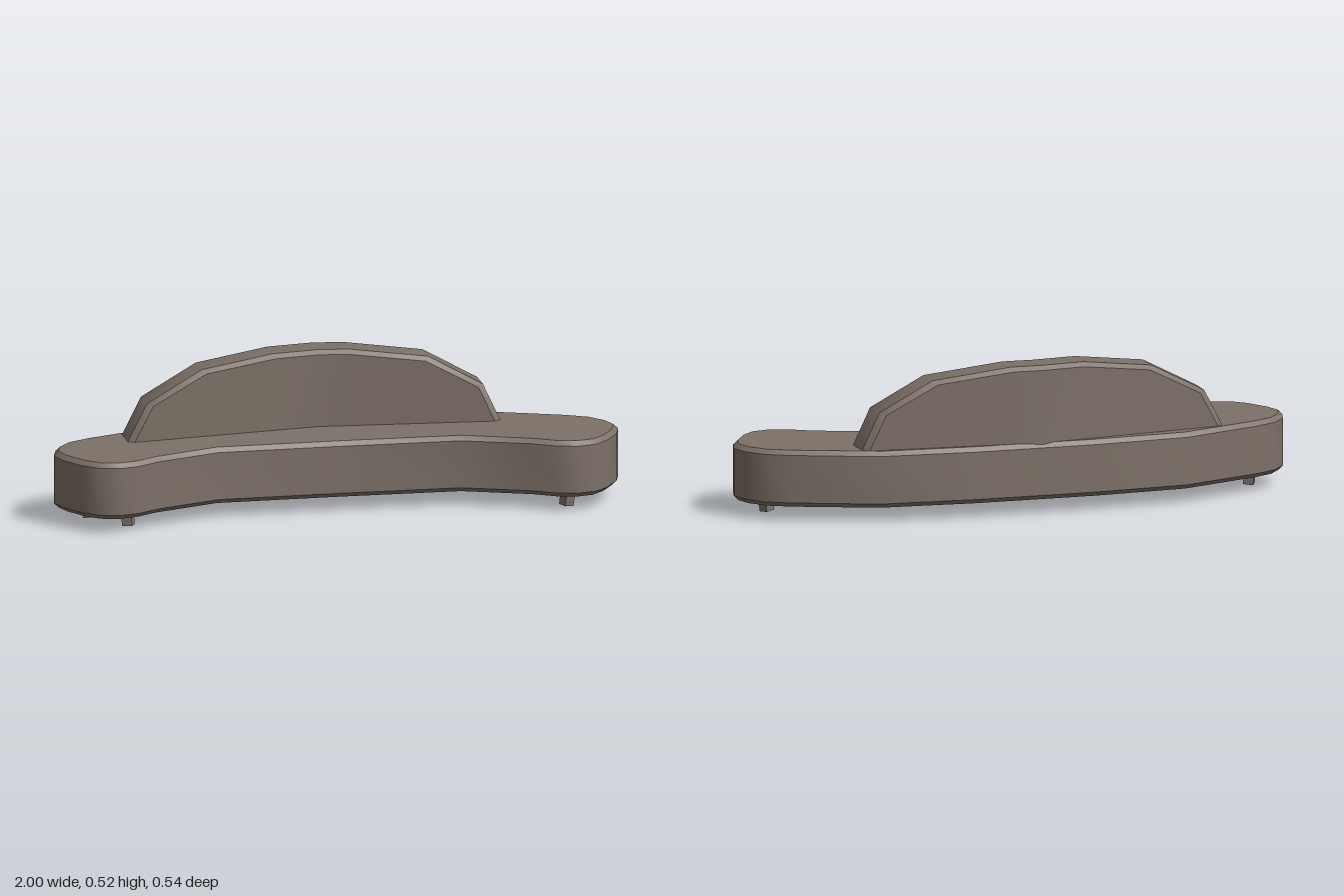
import * as THREE from 'three';
import { toCreasedNormals } from 'three/addons/utils/BufferGeometryUtils.js';

// Curved slab with chamfered rims, mirrored from its +x half outline (x, z)
function seatGeometry() {
  const half = [
    [0.22, -0.275], [0.56, -0.25], [0.85, -0.135], [0.93, -0.09], [0.98, -0.025], [1, 0.045],
    [0.98, 0.115], [0.93, 0.2], [0.88, 0.25], [0.81, 0.268], [0.74, 0.25], [0.66, 0.2], [0.43, 0.11],
  ];
  const mirrored = half.map(([x, z]) => [-x, z]).reverse();
  const outline = [...half, [0, 0.105], ...mirrored].map(([x, z]) => new THREE.Vector2(x, -z));
  const bevel = 0.016;
  const geometry = new THREE.ExtrudeGeometry(new THREE.Shape(outline), {
    depth: 0.2 - 2 * bevel, bevelEnabled: true, bevelSegments: 1,
    bevelSize: bevel, bevelThickness: bevel, bevelOffset: -bevel,
  });
  geometry.rotateX(-Math.PI / 2).translate(0, 0.05 + bevel, 0);
  return toCreasedNormals(geometry, 0.7);
}

// Arched panel, lofted along x and bent backwards at its middle
function backrestGeometry() {
  const base = 0.23, thickness = 0.14, bevel = 0.018, bend = -0.03;
  const arch = [
    [-0.73, base], [-0.65, 0.38], [-0.45, 0.485], [-0.19, 0.52], [bend, 0.521],
    [0.08, 0.52], [0.36, 0.485], [0.55, 0.38], [0.62, base],
  ];
  const frontZ = (x) => -0.125 + (x < bend ? 0.144 : 0.072) * Math.abs(x - bend);
  const rows = arch.map(([x, y]) => {
    const innerX = -0.05 + (x + 0.05) * 0.968;
    const innerY = base + (y - base) * 0.95;
    const front = frontZ(innerX), rim = frontZ(x);
    return [
      [innerX, base, front], [innerX, innerY, front], [x, y, rim - bevel],
      [x, y, rim - thickness + bevel], [innerX, innerY, front - thickness], [innerX, base, front - thickness],
    ];
  });
  const index = [];
  for (let i = 0; i < rows.length - 1; i++) {
    for (let j = 0; j < 5; j++) {
      const a = i * 6 + j, b = a + 6;
      index.push(a, b, b + 1, a, b + 1, a + 1);
    }
  }
  const geometry = new THREE.BufferGeometry();
  geometry.setAttribute('position', new THREE.Float32BufferAttribute(rows.flat(2), 3));
  geometry.setIndex(index);
  return toCreasedNormals(geometry, 0.65);
}

export function createModel() {
  const group = new THREE.Group();
  const fabric = new THREE.MeshStandardMaterial({ color: 0x7d7168 });
  fabric.name = 'taupe';

  const add = (name, geometry) => {
    const mesh = new THREE.Mesh(geometry, fabric);
    mesh.name = name;
    group.add(mesh);
    return mesh;
  };

  add('seat', seatGeometry());
  add('backrest', backrestGeometry());

  // Short square feet, slightly splayed
  const foot = new THREE.BoxGeometry(0.036, 0.07, 0.036);
  const feet = [
    ['leftFrontFoot', 0.79, 0.195, 0.043], ['leftBackFoot', 0.885, 0.04, 0.043],
    ['rightFrontFoot', -0.76, 0.153, 0.037], ['rightBackFoot', -0.87, 0.01, 0.037],
  ];
  for (const [name, x, z, y] of feet) {
    const side = Math.sign(x);
    const mesh = add(name, foot);
    mesh.position.set(x, y, z);
    mesh.rotation.set(0.08 * side, 0.45 * side, x > 0 ? -0.14 : 0.06);
  }
  return group;
}
